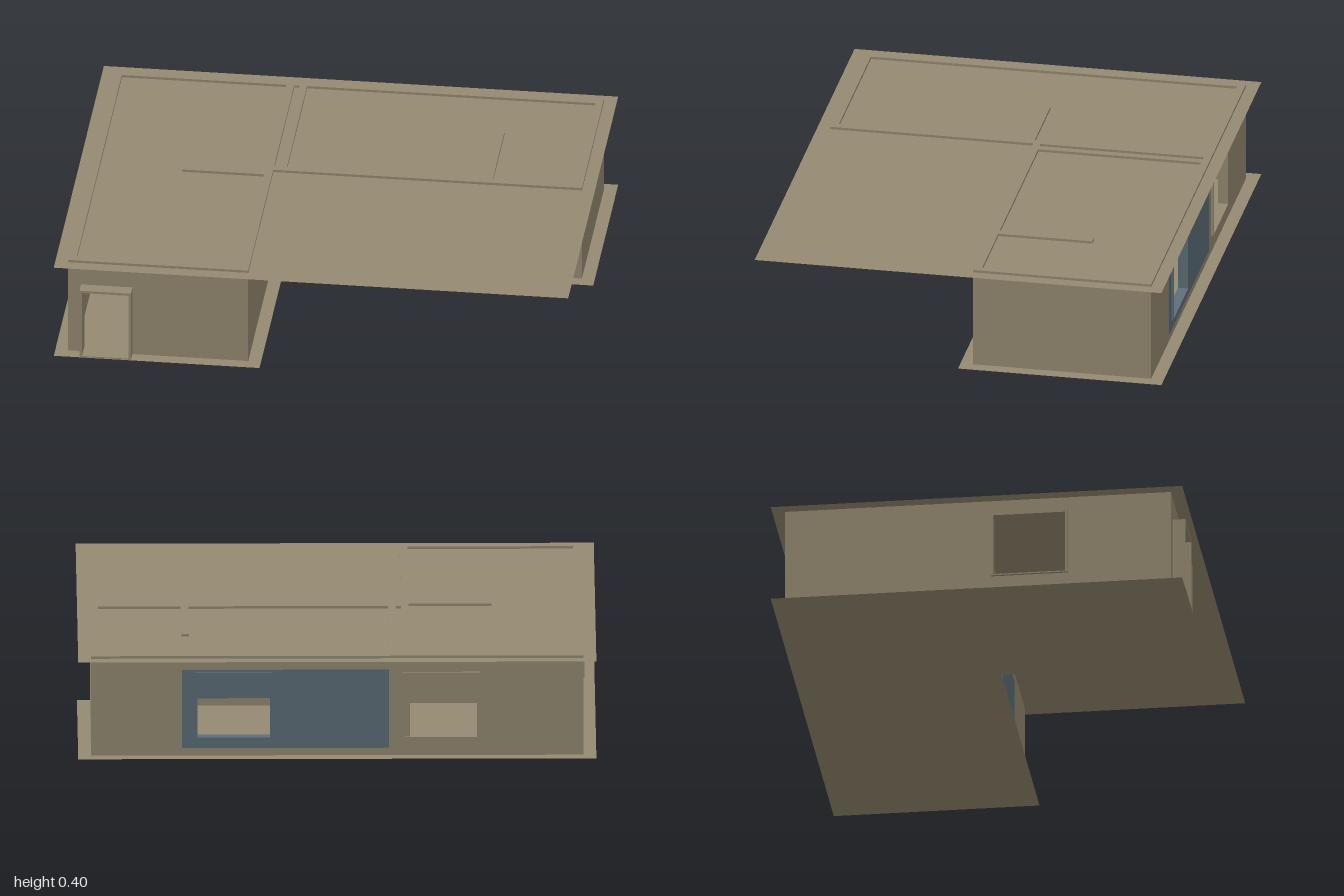
import * as THREE from 'three';

const tan = new THREE.MeshStandardMaterial({ color: 0x958a72, side: THREE.DoubleSide });
tan.name = 'tan';
const blue = new THREE.MeshStandardMaterial({ color: 0x5e6e79, side: THREE.DoubleSide });
blue.name = 'slateBlue';

const HEIGHT = 0.4;
const THICK = 0.03;

// Rectangle [a0, a1, y0, y1] as a closed list of points
const rect = ([a0, a1, y0, y1]) => [[a0, y0], [a1, y0], [a1, y1], [a0, y1]].map(p => new THREE.Vector2(...p));

// Upright slab with rectangular openings, running along 'x' or 'z', from `pos` to `pos + depth`
function slab(name, axis, outline, pos, depth, holes = [], material = tan) {
  const shape = new THREE.Shape(rect(outline));
  holes.forEach(h => shape.holes.push(new THREE.Path(rect(h).reverse())));
  const geometry = new THREE.ExtrudeGeometry(shape, { depth, bevelEnabled: false });
  if (axis === 'z') geometry.rotateY(-Math.PI / 2).translate(pos + depth, 0, 0);
  else geometry.translate(0, 0, pos);
  const mesh = new THREE.Mesh(geometry, material);
  mesh.name = name;
  return mesh;
}

// Thin rim around an opening
function frame(name, axis, opening, pos, depth, material = tan) {
  const [a0, a1, y0, y1] = opening;
  const b = 0.01;
  return slab(name, axis, opening, pos, depth, [[a0 + b, a1 - b, y0 + b / 2, y1 - b]], material);
}

// Flat sheet from plan points (x, z) at height y
function sheet(name, points, y) {
  const shape = new THREE.Shape(points.map(([x, z]) => new THREE.Vector2(x, -z)));
  const mesh = new THREE.Mesh(new THREE.ShapeGeometry(shape).rotateX(-Math.PI / 2).translate(0, y, 0), tan);
  mesh.name = name;
  return mesh;
}

export function createModel() {
  const house = new THREE.Group();
  house.name = 'house';

  // L-shaped floor and rectangular roof covering the porch
  house.add(
    sheet('floor', [[-1, 0.8], [-0.2, 0.8], [-0.2, 0], [1, 0], [1, -0.8], [-1, -0.8]], 0),
    sheet('roof', [[-1, 0.8], [1, 0.8], [1, -0.8], [-1, -0.8]], 0.39)
  );

  // Openings
  const wingDoor = [-0.9, -0.7, 0.002, 0.295];
  const mainDoor = [-0.1, 0.1, 0.002, 0.295];
  const backWindows = [[0.25, 0.55, 0.07, 0.335], [-0.55, -0.25, 0.07, 0.335]];
  const sideWindow = [0.05, 0.35, 0.07, 0.335];

  // Outer walls
  house.add(
    slab('backWall', 'x', [-0.95, 0.95, 0, HEIGHT], -0.75, THICK, backWindows),
    slab('rightWall', 'z', [-0.75, 0.75, 0, HEIGHT], -0.95, THICK, [sideWindow]),
    slab('leftWall', 'z', [-0.75, -0.05, 0, HEIGHT], 0.95 - THICK, THICK),
    slab('wingFrontWall', 'x', [-0.95, -0.25, 0, HEIGHT], 0.75 - THICK, THICK, [wingDoor]),
    slab('wingSideWall', 'z', [-0.75, 0.75, 0, HEIGHT], -0.25 - THICK, THICK),
    slab('mainFrontWall', 'x', [-0.25, 0.95, 0, HEIGHT], -0.05 - THICK, THICK, [mainDoor])
  );

  // Inner partitions
  house.add(
    slab('mainRoomPartition', 'z', [-0.75, -0.05, 0, HEIGHT], -0.23, THICK),
    slab('wingPartition', 'x', [-0.6, -0.25, 0, HEIGHT], -0.05, 0.04),
    slab('shortPartition', 'z', [-0.45, -0.05, 0, HEIGHT], 0.57, THICK)
  );

  // Blue painted areas on both faces of the main room walls
  const paint = 0.002;
  const doorGap = [-0.1, 0.1, 0.031, 0.295];
  [-0.75 - paint, -0.75 + THICK].forEach(z =>
    house.add(slab('backPaint', 'x', [-0.2, 0.6, 0.03, 0.345], z, paint, [backWindows[0]], blue)));
  house.add(
    slab('frontPaint', 'x', [-0.25, 0.6, 0.03, 0.345], -0.05, paint, [doorGap], blue),
    slab('frontInnerPaint', 'x', [-0.2, 0.57, 0.03, 0.345], -0.08 - paint, paint, [doorGap], blue)
  );

  // Door and window frames
  house.add(
    frame('wingDoorFrame', 'x', wingDoor, 0.72, 0.08),
    frame('mainDoorFrame', 'x', [-0.1, 0.1, 0.03, 0.295], -0.08, 0.05, blue),
    frame('sideWindowFrame', 'z', sideWindow, -0.96, THICK + 0.01)
  );
  backWindows.forEach((w, i) =>
    house.add(frame('backWindowFrame', 'x', w, -0.76, THICK + 0.01, i ? tan : blue)));

  return house;
}
